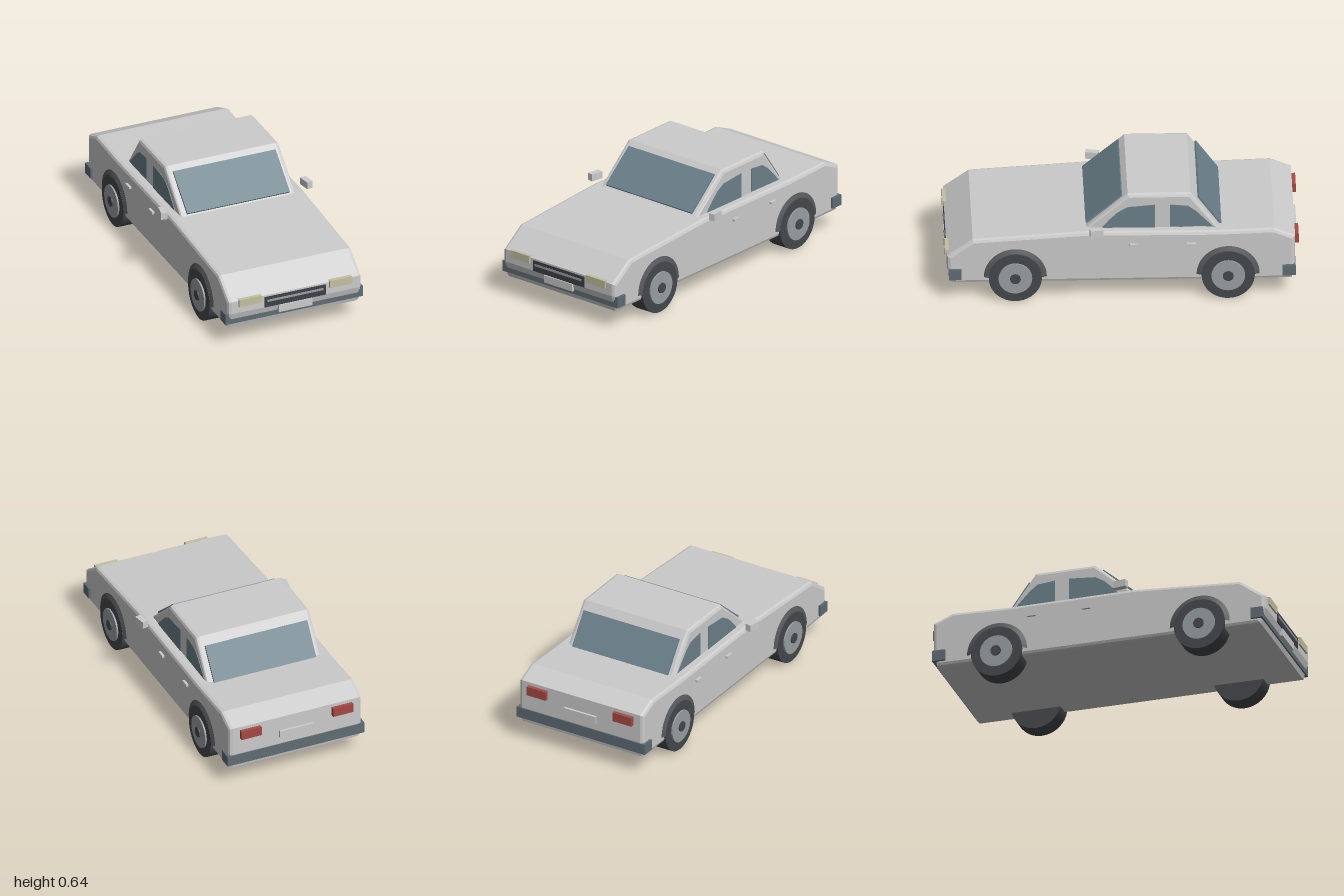
import * as THREE from 'three';

const paint = (color, side = THREE.FrontSide) => new THREE.MeshStandardMaterial({ color, side });

export function createModel() {
  const car = new THREE.Group();
  car.name = 'car';
  const body = paint(0xcccccc), glass = paint(0x6b808a), rubber = paint(0x45484c);
  const archMat = paint(0x55585b, THREE.DoubleSide), rimMat = paint(0x999fa3);
  const bumperMat = paint(0x5f6c74), grilleMat = paint(0x3c4046);
  const lampMat = paint(0xc4c0a2), tailMat = paint(0xa54a44);

  const add = (name, geo, mat, x = 0, y = 0, z = 0, parent = car) => {
    const m = new THREE.Mesh(geo, mat);
    m.name = name;
    m.position.set(x, y, z);
    parent.add(m);
    return m;
  };
  const box = (name, mat, w, h, d, x, y, z) => add(name, new THREE.BoxGeometry(w, h, d), mat, x, y, z);

  // Side profile given as [z, y], extruded across x, centred, with bevelled edges
  const slab = (points, width, bevel) => {
    const shape = new THREE.Shape(points.map(([z, y]) => new THREE.Vector2(z, y)));
    const depth = width - 2 * bevel;
    const geo = new THREE.ExtrudeGeometry(shape, {
      depth, bevelEnabled: bevel > 0, bevelThickness: bevel, bevelSize: bevel, bevelOffset: -bevel, bevelSegments: 2,
    });
    return geo.translate(0, 0, -depth / 2).rotateY(-Math.PI / 2);
  };

  // Shell
  add('lowerBody', slab([
    [-0.96, 0.113], [0.957, 0.113], [0.985, 0.21], [0.985, 0.285], [0.84, 0.39],
    [0.2, 0.43], [-0.55, 0.425], [-0.86, 0.435], [-0.978, 0.385], [-0.978, 0.21],
  ], 0.82, 0.02), body);
  add('cabin', slab([[0.215, 0.415], [-0.035, 0.64], [-0.39, 0.64], [-0.552, 0.415]], 0.705, 0.02), body);

  // Windscreen and rear window: thin panes between two [z, y] points
  const pane = (name, [z0, y0], [z1, y1]) => {
    const m = box(name, glass, 0.632, 0.012, Math.hypot(z1 - z0, y1 - y0), 0, (y0 + y1) / 2, (z0 + z1) / 2);
    m.rotation.x = Math.atan2(y0 - y1, z1 - z0);
  };
  pane('windscreen', [-0.003, 0.615], [0.198, 0.443]);
  pane('rearWindow', [-0.56, 0.425], [-0.435, 0.6]);

  // Side glass, mirrors and door handles
  const frontGlass = slab([[0.115, 0.425], [0.07, 0.478], [0.02, 0.527], [-0.035, 0.56], [-0.19, 0.573], [-0.19, 0.425]], 0.012, 0);
  const rearGlass = slab([[-0.275, 0.432], [-0.275, 0.573], [-0.375, 0.563], [-0.42, 0.53], [-0.515, 0.43]], 0.012, 0);
  for (const s of [1, -1]) {
    const side = s > 0 ? 'left' : 'right';
    add(side + 'FrontSideWindow', frontGlass, glass, s * 0.35);
    add(side + 'RearSideWindow', rearGlass, glass, s * 0.35);
    box(side + 'Mirror', body, 0.036, 0.042, 0.075, s * 0.443, 0.449, 0.143).rotation.y = s * 0.17;
    for (const z of [-0.07, -0.393]) box(side + 'DoorHandle', body, 0.03, 0.014, 0.05, s * 0.41, 0.349, z);
    box(side + 'Headlight', lampMat, 0.138, 0.045, 0.04, s * 0.279, 0.272, 0.975);
    box(side + 'TailLight', tailMat, 0.125, 0.054, 0.04, s * 0.284, 0.338, -0.98);
  }

  // Wheels and arches: one side built facing +x, then turned round for the other
  const disc = (r0, r1, x0, x1, ...rest) =>
    new THREE.CylinderGeometry(r1, r0, x1 - x0, 40, 1, ...rest).rotateZ(-Math.PI / 2).translate((x0 + x1) / 2, 0, 0);
  const arch = disc(0.187, 0.152, 0.406, 0.421, false, Math.PI, Math.PI);
  const tyre = disc(0.15, 0.15, 0.312, 0.4225);
  const rim = disc(0.095, 0.095, 0.4, 0.432);
  const cap = disc(0.03, 0.03, 0.42, 0.44);
  for (const s of [1, -1]) {
    const wheels = new THREE.Group();
    wheels.name = s > 0 ? 'leftWheels' : 'rightWheels';
    wheels.rotation.y = s > 0 ? 0 : Math.PI;
    car.add(wheels);
    for (const z of [0.6, -0.6]) {
      add('wheelArch', arch, archMat, 0, 0.152, z, wheels);
      add('tyre', tyre, rubber, 0, 0.15, z, wheels);
      add('rim', rim, rimMat, 0, 0.15, z, wheels);
      add('hubCap', cap, rubber, 0, 0.15, z, wheels);
    }
  }

  // Bumpers, grille and plates
  box('frontBumper', bumperMat, 0.848, 0.064, 0.07, 0, 0.174, 0.939);
  box('rearBumper', bumperMat, 0.848, 0.064, 0.076, 0, 0.174, -0.943);
  box('grille', grilleMat, 0.376, 0.064, 0.03, 0, 0.243, 0.975);
  box('grilleBar', rimMat, 0.345, 0.013, 0.03, 0, 0.251, 0.978);
  box('frontPlate', body, 0.208, 0.044, 0.03, 0, 0.186, 0.978);
  box('rearPlate', body, 0.208, 0.044, 0.03, 0, 0.275, -0.978);

  return car;
}
